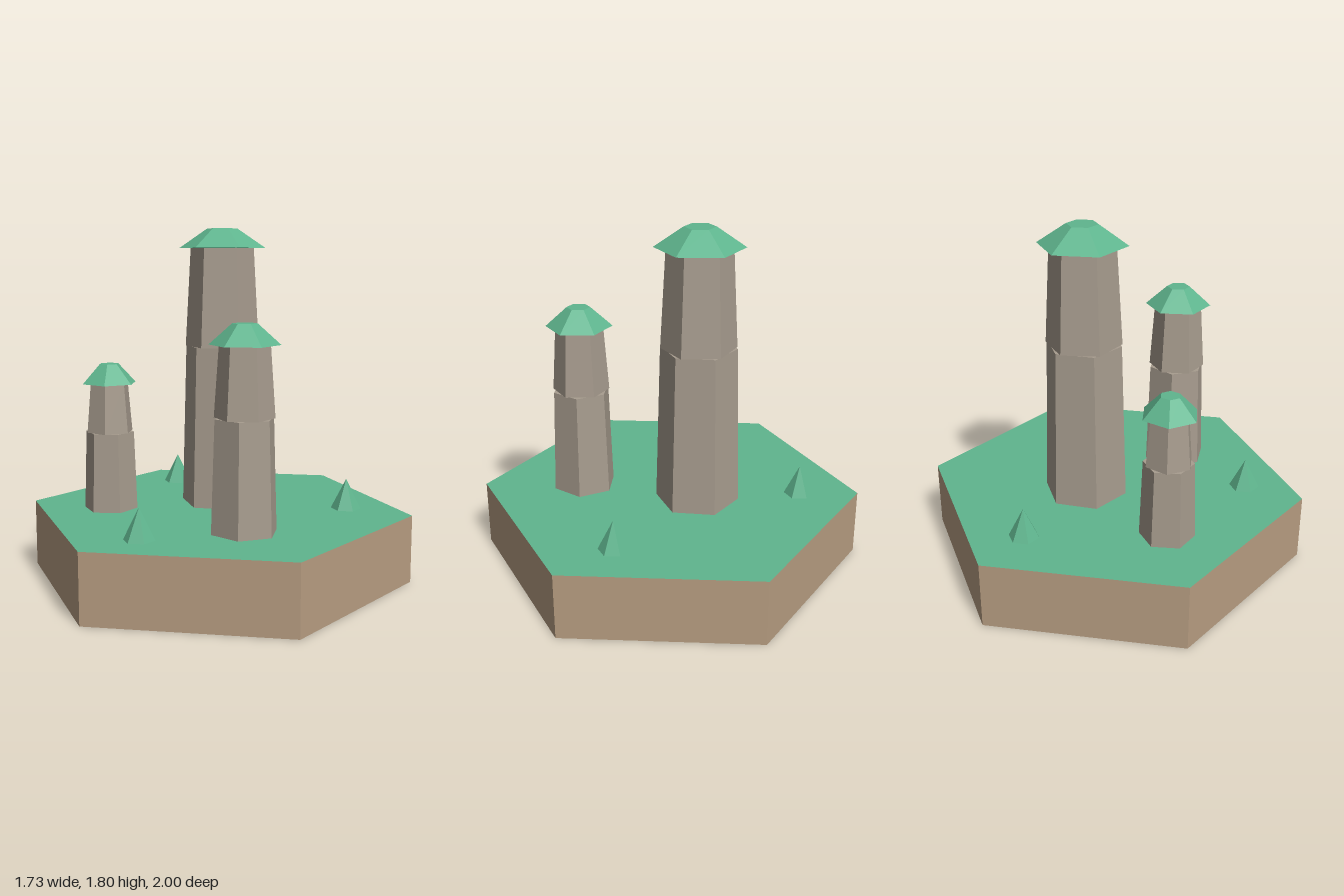
import * as THREE from 'three';

const mat = (color) => new THREE.MeshStandardMaterial({ color, flatShading: true });
const BASE = 0.35;

export function createModel() {
  const model = new THREE.Group();
  const green = mat(0x5fb58e), stone = mat(0xa89d8f), earth = mat(0xb89e82);

  // Six-sided frustum standing on y0, turned by deg about its axis
  function hex(parent, name, material, rTop, rBottom, y0, y1, deg = 0) {
    const geo = new THREE.CylinderGeometry(rTop, rBottom, y1 - y0, 6);
    geo.rotateY(THREE.MathUtils.degToRad(deg));
    geo.translate(0, (y0 + y1) / 2, 0);
    const mesh = new THREE.Mesh(geo, material);
    mesh.name = name;
    parent.add(mesh);
  }

  // Ground tile: earth sides and underside, grassy top
  hex(model, 'groundTile', [earth, green, earth], 1, 1, 0, BASE);

  // Rock pillars: two tapering sections and a mossy cap
  // radii: lower bottom/top, upper bottom/top, cap; heights: joint, cap base; turns per piece
  const pillars = [
    { name: 'tallPillar', x: -0.088, z: -0.14, r: [0.218, 0.195, 0.193, 0.165, 0.226], y: [1.19, 1.7], turn: [-4, 5, 2] },
    { name: 'middlePillar', x: 0.382, z: 0.275, r: [0.168, 0.15, 0.146, 0.122, 0.171], y: [0.905, 1.25], turn: [28, 4, 4] },
    { name: 'shortPillar', x: -0.449, z: 0.341, r: [0.139, 0.125, 0.122, 0.1, 0.144], y: [0.757, 1.01], turn: [4, 33, 35] },
  ];
  for (const { name, x, z, r, y, turn } of pillars) {
    const pillar = new THREE.Group();
    pillar.name = name;
    pillar.position.set(x, 0, z);
    hex(pillar, 'lowerRock', stone, r[1], r[0], BASE, y[0], turn[0]);
    hex(pillar, 'upperRock', stone, r[3], r[2], y[0], y[1], turn[1]);
    hex(pillar, 'mossCap', green, r[4] * 0.35, r[4], y[1], y[1] + 0.1, turn[2]);
    model.add(pillar);
  }

  // Small cone trees
  for (const [x, z] of [[-0.59, -0.35], [0.52, -0.42], [0.085, 0.69]]) {
    const tree = new THREE.Group();
    tree.name = 'tree';
    tree.position.set(x, 0, z);
    hex(tree, 'foliage', green, 0, 0.078, BASE, 0.507);
    model.add(tree);
  }

  return model;
}
